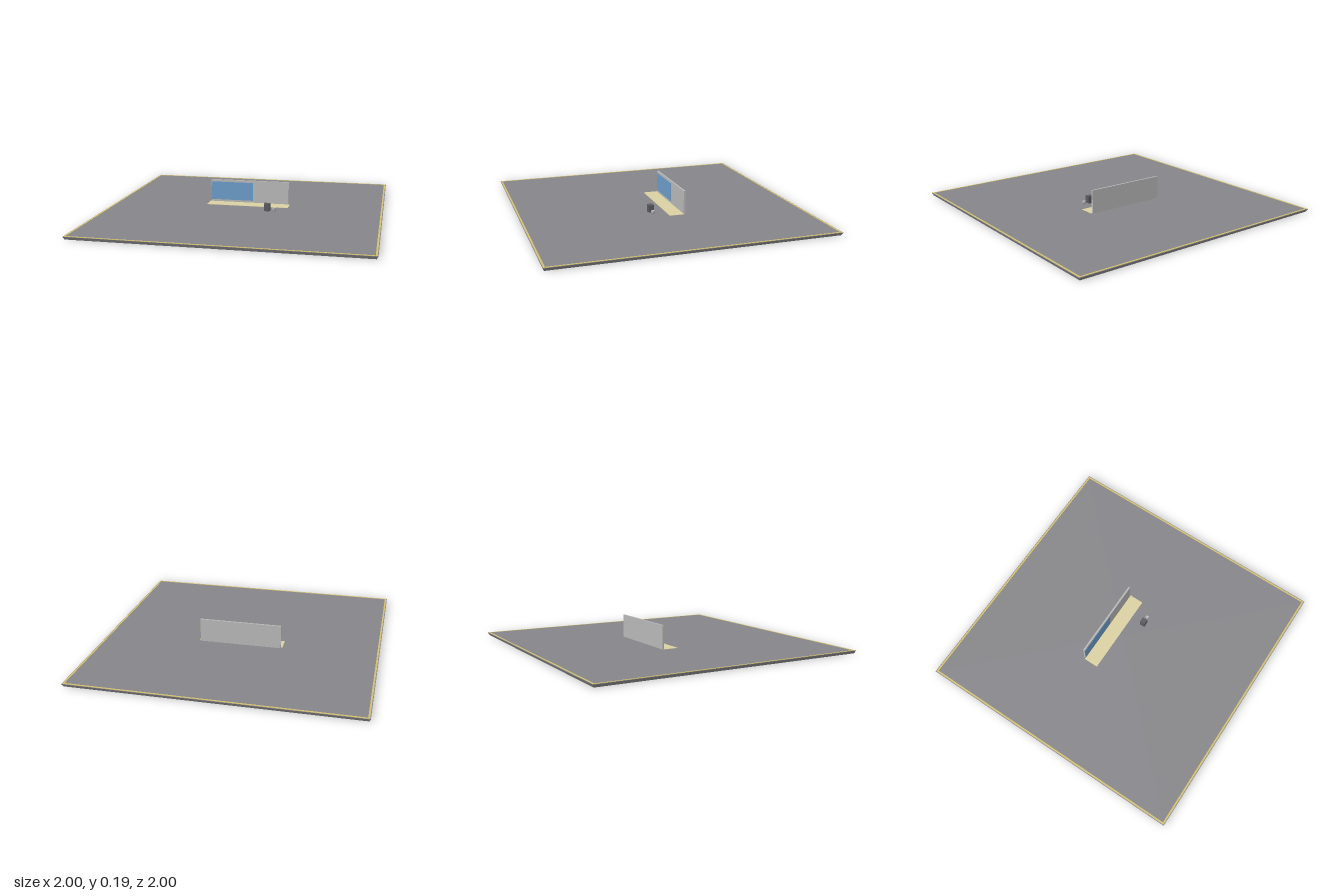
import * as THREE from 'three';

const mat = (color) => new THREE.MeshStandardMaterial({ color });

export function createModel() {
  const model = new THREE.Group();
  const add = (name, geometry, color, x, y, z) => {
    const mesh = new THREE.Mesh(geometry, mat(color));
    mesh.name = name;
    mesh.position.set(x, y, z);
    model.add(mesh);
    return mesh;
  };
  // Box given by its lowest and highest corners
  const block = (name, color, [x0, y0, z0], [x1, y1, z1]) =>
    add(name, new THREE.BoxGeometry(x1 - x0, y1 - y0, z1 - z0), color,
      (x0 + x1) / 2, (y0 + y1) / 2, (z0 + z1) / 2);

  // Square floor slab whose edge tapers in towards the bottom
  const top = 0.02;
  const slab = new THREE.CylinderGeometry(Math.SQRT2, 0.99 * Math.SQRT2, top, 4).toNonIndexed();
  slab.rotateY(Math.PI / 4);
  slab.computeVertexNormals();
  add('floorSlab', slab, 0x86868a, 0, top / 2, 0);

  // Yellow line framing the floor
  const square = (path, r) =>
    path.moveTo(-r, -r).lineTo(r, -r).lineTo(r, r).lineTo(-r, r).closePath();
  const frame = new THREE.Shape();
  square(frame, 0.995);
  const hole = new THREE.Path();
  square(hole, 0.983);
  frame.holes.push(hole);
  const frameGeometry = new THREE.ExtrudeGeometry(frame, { depth: 0.002, bevelEnabled: false });
  frameGeometry.rotateX(-Math.PI / 2);
  add('floorBorder', frameGeometry, 0xd2c070, 0, top, 0);

  // Standing wall with a blue panel on its front
  block('wall', 0xb8b8b8, [-0.3, top, -0.148], [0.296, 0.191, -0.135]);
  block('bluePanel', 0x6c9cc8, [-0.299, 0.037, -0.136], [0.022, 0.175, -0.133]);

  // Pale mat in front of the wall
  block('floorMat', 0xdad0a2, [-0.31, top, -0.137], [0.306, 0.022, -0.028]);

  // Small dark stool
  block('stool', 0x5a5a60, [0.148, top, 0.052], [0.19, 0.074, 0.092]);

  // Small round cup beside it
  const cup = [[0, 0], [0.014, 0], [0.014, 0.023], [0.011, 0.023], [0.011, 0.019], [0, 0.019]]
    .map(([r, y]) => new THREE.Vector2(r, y));
  const cupGeometry = new THREE.LatheGeometry(cup, 16);
  add('cup', cupGeometry, 0xb8b8b8, 0.22, top, 0.071);

  return model;
}
